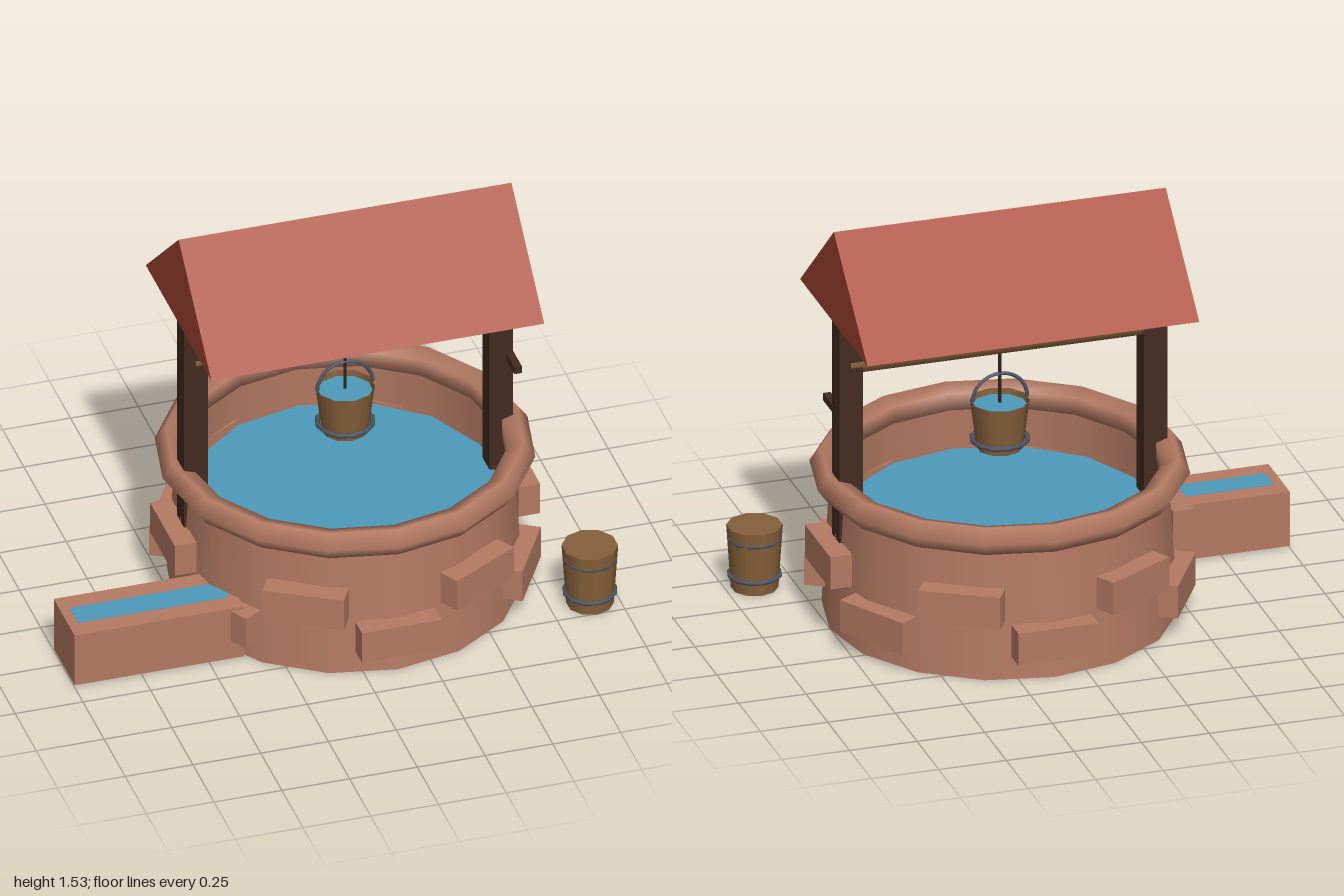
import * as THREE from 'three';

const mat = (name, color, side = THREE.FrontSide) =>
  Object.assign(new THREE.MeshStandardMaterial({ color, side }), { name });

export function createModel() {
  const root = new THREE.Group();
  root.name = 'well';
  const stone = mat('stone', 0xb47a63, THREE.DoubleSide);
  const roofRed = mat('roof red', 0xa84732);
  const water = mat('water', 0x4d9abb, THREE.DoubleSide);
  const wood = mat('wood', 0x86603a, THREE.DoubleSide);
  const darkWood = mat('dark wood', 0x432b20);
  const iron = mat('iron', 0x4f5563);
  const rope = mat('rope', 0x2b2623);

  const add = (parent, name, geometry, material, x = 0, y = 0, z = 0) => {
    const mesh = new THREE.Mesh(geometry, material);
    mesh.name = name;
    mesh.position.set(x, y, z);
    parent.add(mesh);
    return mesh;
  };
  const box = (w, h, d) => new THREE.BoxGeometry(w, h, d);
  const cyl = (rt, rb, h, n, open = false) => new THREE.CylinderGeometry(rt, rb, h, n, 1, open);
  const ring = (r, tube, n = 12) => new THREE.TorusGeometry(r, tube, 6, n).rotateX(Math.PI / 2);

  // Everything on the well shares its axis
  const well = new THREE.Group();
  well.name = 'wellBody';
  well.position.x = 0.123;
  root.add(well);

  // Tapered open wall, thick rim and the water inside
  add(well, 'wall', cyl(0.597, 0.63, 0.54, 16, true), stone, 0, 0.27);
  add(well, 'rim', ring(0.618, 0.055, 16).copy(
    new THREE.TorusGeometry(0.618, 0.055, 5, 16).rotateX(Math.PI / 2)), stone, 0, 0.54);
  add(well, 'wellWater', cyl(0.55, 0.55, 0.04, 14), water, 0, 0.35);

  // Two staggered rows of protruding stones
  for (let i = 0; i < 12; i++) {
    const a = (i * Math.PI) / 6;
    const y = i % 2 ? 0.285 : 0.145;
    const block = add(well, 'stoneBlock', box(0.295, 0.124, 0.08), stone, Math.sin(a) * 0.634, y, Math.cos(a) * 0.634);
    block.rotation.y = a;
  }

  // Posts
  for (const s of [-1, 1]) add(well, 'post', box(0.087, 1.2, 0.087), darkWood, s * 0.5635, 0.6);

  // Gabled roof, a solid triangular prism along x
  const gable = new THREE.Shape();
  gable.moveTo(-0.388, 1.184);
  gable.lineTo(0.388, 1.184);
  gable.lineTo(0, 1.535);
  gable.closePath();
  const roofGeo = new THREE.ExtrudeGeometry(gable, { depth: 1.228, bevelEnabled: false });
  roofGeo.translate(0, 0, -0.614).rotateY(Math.PI / 2);
  add(well, 'roof', roofGeo, roofRed);

  // Winding drum, its ends let into the posts
  add(well, 'drum', cyl(0.048, 0.048, 1.13, 8).rotateZ(Math.PI / 2), wood, 0, 1.028);

  // Crank
  add(well, 'crankArm', box(0.02, 0.22, 0.03), darkWood, 0.599, 0.935);
  add(well, 'crankHandle', box(0.028, 0.028, 0.14), darkWood, 0.595, 0.836, 0.07);

  // Hanging bucket with bail and rope
  const bucket = new THREE.Group();
  bucket.name = 'hangingBucket';
  bucket.position.y = 0.618;
  well.add(bucket);
  add(bucket, 'bucketSide', cyl(0.105, 0.083, 0.182, 10, true), wood, 0, 0.091);
  add(bucket, 'bucketBase', cyl(0.083, 0.083, 0.006, 10), wood, 0, 0.003);
  add(bucket, 'bucketWater', cyl(0.1, 0.1, 0.004, 10), water, 0, 0.158);
  add(bucket, 'bucketHoop', ring(0.1, 0.009), iron, 0, 0.034);
  add(bucket, 'bail', new THREE.TorusGeometry(0.102, 0.007, 6, 16, Math.PI), iron, 0, 0.182);
  add(well, 'rope', cyl(0.006, 0.006, 0.21, 6), rope, 0, 0.895);

  // Standing bucket
  const pail = new THREE.Group();
  pail.name = 'standingBucket';
  pail.position.set(0.895, 0, 0.421);
  root.add(pail);
  add(pail, 'pailBody', cyl(0.1, 0.084, 0.241, 10), wood, 0, 0.1205);
  for (const y of [0.052, 0.192]) add(pail, 'pailHoop', ring(0.091, 0.008), iron, 0, y);

  // Stone trough with a strip of water on top
  add(root, 'trough', box(0.625, 0.21, 0.246), stone, -0.6875, 0.113, 0.278);
  add(root, 'troughWater', box(0.56, 0.004, 0.1), water, -0.685, 0.217, 0.278);

  return root;
}
